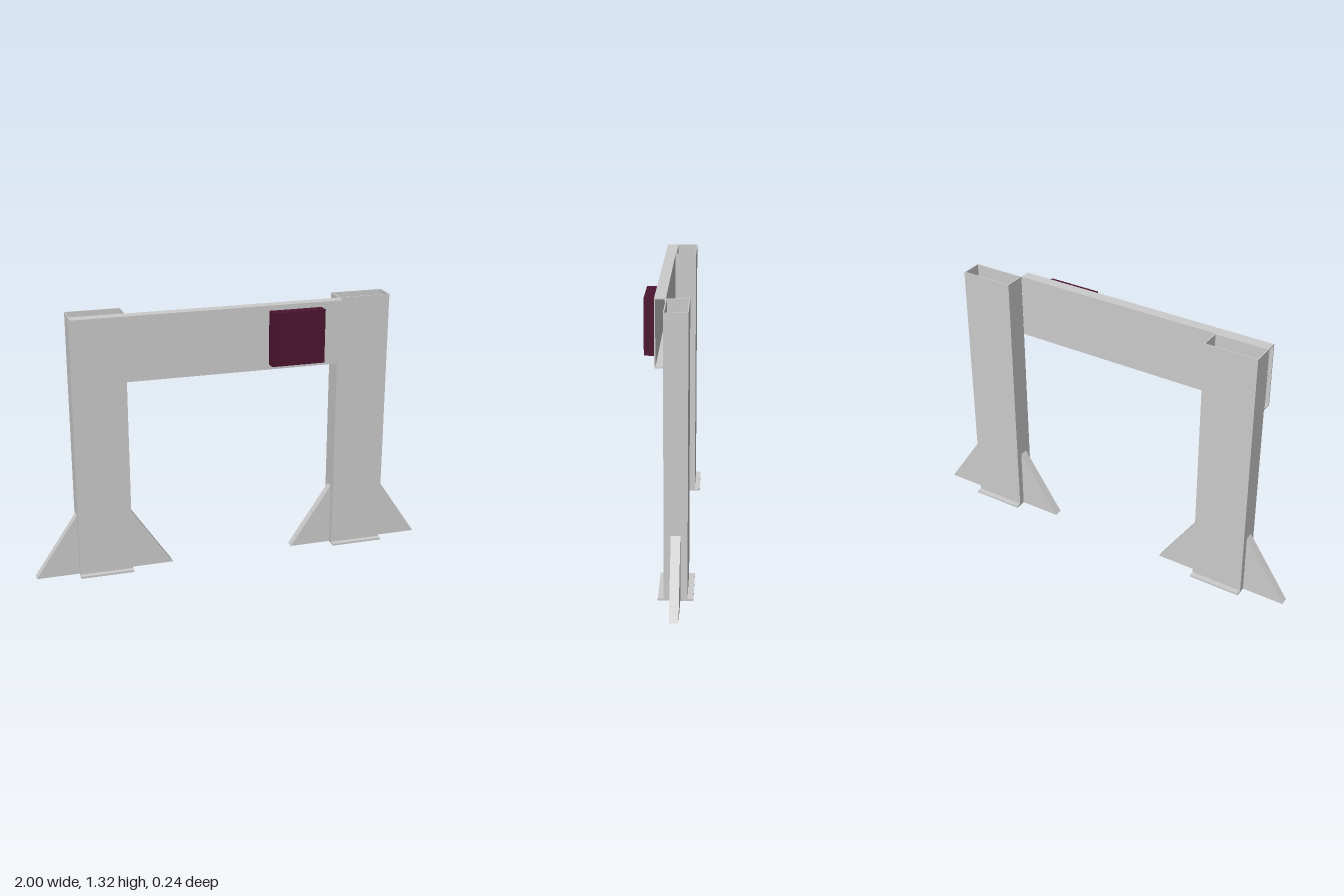
import * as THREE from 'three';

const steel = new THREE.MeshStandardMaterial({ color: 0xcccccc });
const dark = new THREE.MeshStandardMaterial({ color: 0x4c1530 });

const HEIGHT = 1.315, COL_W = 0.263, COL_X = 0.657, COL_Z = -0.039;
const WALL = 0.005, PLATE_T = 0.01;

function addMesh(parent, name, geometry, material, x, y, z) {
  const mesh = new THREE.Mesh(geometry, material);
  mesh.name = name;
  mesh.position.set(x, y, z);
  parent.add(mesh);
  return mesh;
}

// Open-ended rectangular tube, centred on its section, extruded along +z
function tube(w, h, length) {
  const rect = (a, b) => [[-a, -b], [a, -b], [a, b], [-a, b]].map(p => new THREE.Vector2(...p));
  const shape = new THREE.Shape(rect(w / 2, h / 2));
  shape.holes.push(new THREE.Path(rect(w / 2 - WALL, h / 2 - WALL).reverse()));
  return new THREE.ExtrudeGeometry(shape, { depth: length, bevelEnabled: false });
}

// Triangular brace, upright edge at x = 0, sloping down toward +x
function gusset(width, height, depth) {
  const shape = new THREE.Shape();
  shape.moveTo(0, 0);
  shape.lineTo(width, 0);
  shape.lineTo(0, height);
  shape.closePath();
  return new THREE.ExtrudeGeometry(shape, { depth, bevelEnabled: false }).translate(0, 0, -depth / 2);
}

// Hollow column on a foot plate with a brace on either side
function createLeg(name, x) {
  const leg = new THREE.Group();
  leg.name = name;
  leg.position.set(x, 0, COL_Z);
  const column = tube(COL_W, 0.106, HEIGHT - PLATE_T).rotateX(-Math.PI / 2);
  addMesh(leg, 'column', column, steel, 0, PLATE_T, 0);
  addMesh(leg, 'footPlate', new THREE.BoxGeometry(COL_W, PLATE_T, 0.159), steel, 0, PLATE_T / 2, 0);
  for (const side of [-1, 1]) {
    const brace = addMesh(leg, side > 0 ? 'leftBrace' : 'rightBrace',
      gusset(0.211, 0.315, 0.042), steel, side * COL_W / 2, 0, 0);
    if (side < 0) brace.rotation.y = Math.PI;
  }
  return leg;
}

export function createModel() {
  const model = new THREE.Group();
  model.name = 'portalFrame';
  model.add(createLeg('rightLeg', -COL_X), createLeg('leftLeg', COL_X));

  // Hollow crossbeam against the front of the columns
  const beam = tube(0.052, 0.315, 1.314).rotateY(Math.PI / 2);
  addMesh(model, 'crossbeam', beam, steel, -0.789, HEIGHT - 0.1575, 0.04);

  // Dark box mounted on the beam
  addMesh(model, 'controlBox', new THREE.BoxGeometry(0.263, 0.262, 0.053), dark, 0.288, 1.159, 0.0925);
  return model;
}
